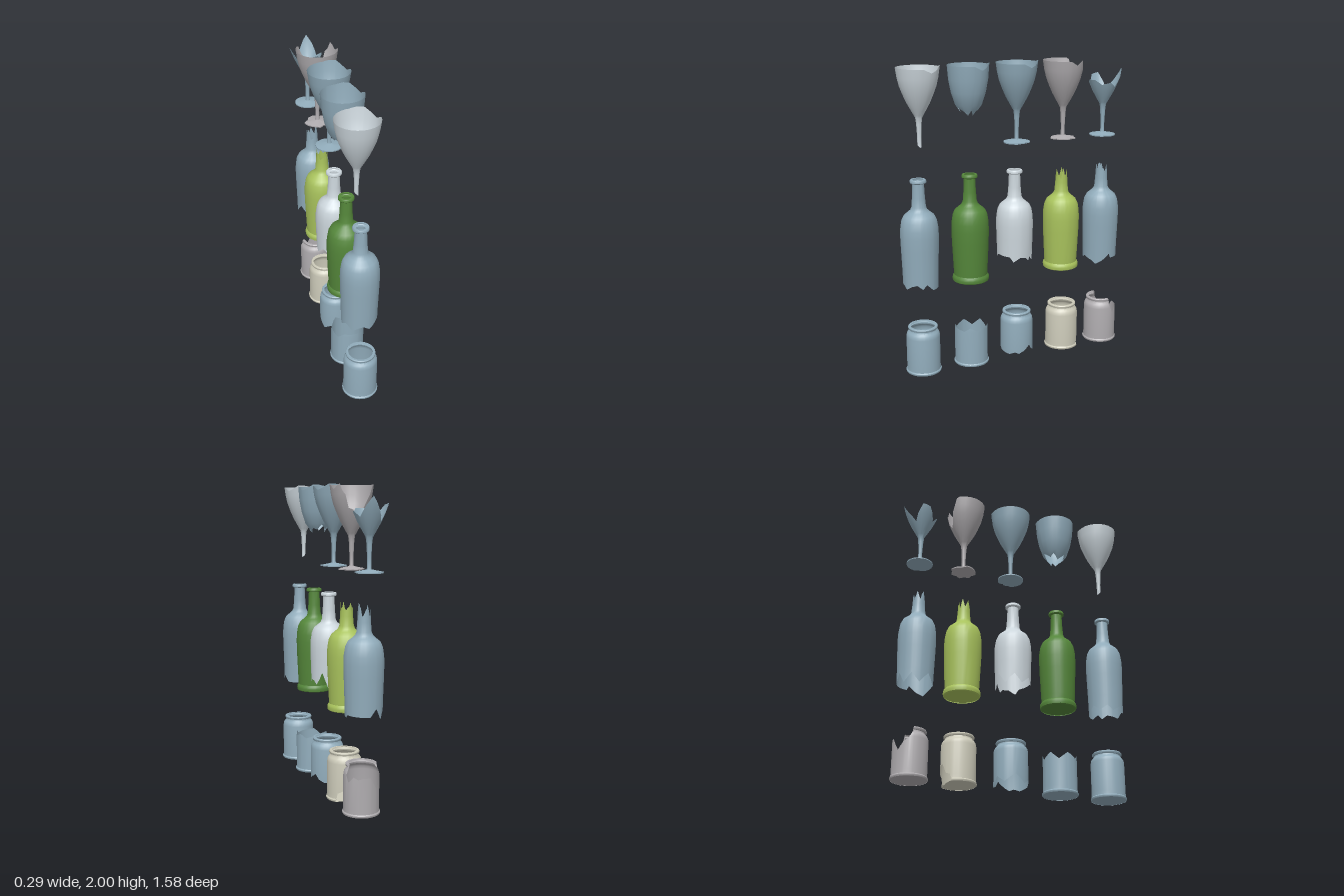
import * as THREE from 'three';
import { toCreasedNormals } from 'three/addons/utils/BufferGeometryUtils.js';

const glass = (name, color) => {
  const m = new THREE.MeshStandardMaterial({ color, side: THREE.DoubleSide });
  m.name = name;
  return m;
};

// Piecewise-linear lookup around the circle of [degrees, value] points
function around(points, deg) {
  const n = points.length;
  for (let i = 0; i < n; i++) {
    const [a0, v0] = points[i];
    const [a1, v1] = points[(i + 1) % n];
    const span = ((a1 - a0 + 360) % 360) || 360;
    const d = (deg - a0 + 360) % 360;
    if (d <= span) return v0 + (v1 - v0) * d / span;
  }
  return points[0][1];
}

// Radius of a rising profile at height y
function radiusAt(profile, y) {
  for (let i = 1; i < profile.length; i++) {
    const [r0, y0] = profile[i - 1], [r1, y1] = profile[i];
    if (y <= y1 && y1 > y0) return r0 + (r1 - r0) * Math.max(0, y - y0) / (y1 - y0);
  }
  return profile[profile.length - 1][0];
}

// Turned shell, cut off below "lo" and above "hi", with edge chips from "rad"
function shell(name, material, profile, { lo = [[0, -9]], hi = [[0, 9]], rad = [[0, 1]] } = {}) {
  const angles = new Set();
  for (let i = 0; i < 24; i++) angles.add(i * 15);
  [lo, hi, rad].forEach(list => list.forEach(p => angles.add(p[0])));
  const sorted = [...angles].sort((a, b) => a - b);
  const columns = sorted.map(deg => {
    const l = around(lo, deg), h = around(hi, deg), k = around(rad, deg);
    const t = deg * Math.PI / 180;
    return profile.map(([r0, y0]) => {
      const y = Math.min(h, Math.max(l, y0));
      const r = (y === y0 ? r0 : radiusAt(profile, y)) * k;
      return new THREE.Vector3(r * Math.sin(t), y, r * Math.cos(t));
    });
  });
  const pos = [];
  const tri = (a, b, c) => {
    const area = b.clone().sub(a).cross(c.clone().sub(a)).length();
    if (area > 1e-9) [a, b, c].forEach(p => pos.push(p.x, p.y, p.z));
  };
  columns.forEach((a, i) => {
    const b = columns[(i + 1) % columns.length];
    for (let j = 0; j + 1 < profile.length; j++) {
      tri(a[j], b[j], b[j + 1]);
      tri(a[j], b[j + 1], a[j + 1]);
    }
  });
  const geo = new THREE.BufferGeometry();
  geo.setAttribute('position', new THREE.Float32BufferAttribute(pos, 3));
  const mesh = new THREE.Mesh(toCreasedNormals(geo, 0.65), material);
  mesh.name = name;
  return mesh;
}

// Flat round floor facing down
const floor = (name, material, r, y, rad) =>
  shell(name, material, [[0, y], [r, y]], { rad });

// Profiles as [radius, height]
const STEM = [[.02, 1.475], [.013, 1.5], [.013, 1.56], [.017, 1.64], [.022, 1.68]];
const BOWL = [[.03, 1.695], [.047, 1.725], [.072, 1.77], [.094, 1.82], [.115, 1.875], [.128, 1.93], [.138, 2.0]];
const DEEP_BOWL = [[.035, 1.66], [.056, 1.7], [.085, 1.74], [.111, 1.82], [.126, 1.9], [.134, 2.0]];
const FOOT = [[0, 1.47], [.087, 1.47], [.087, 1.477], [.05, 1.484], [.015, 1.492]];
const BOTTLE_BASE = [[.112, .58], [.119, .585], [.121, .6], [.119, .614], [.11, .625]];
const BOTTLE_BODY = [[.112, .66], [.121, .85], [.123, .93], [.121, .98], [.113, 1.03], [.098, 1.062],
  [.07, 1.085], [.054, 1.1], [.046, 1.12], [.041, 1.18], [.037, 1.27]];
const BOTTLE_LIP = [[.048, 1.272], [.052, 1.277], [.052, 1.289], [.048, 1.295], [.035, 1.295]];
const JAR_BASE = [[.114, .005], [.117, .01], [.117, .017], [.111, .024]];
const JAR_BODY = [[.11, .05], [.11, .25], [.107, .268], [.1, .28], [.088, .291]];
const JAR_LIP = [[.086, .301], [.094, .302], [.097, .307], [.097, .315], [.093, .32], [.08, .32]];

const CHIPPED_RIM = [[0, 1.99], [88, 1.988], [111, 1.962], [128, 1.975], [148, 2], [165, 2], [185, 1.99]];

export function createModel() {
  const root = new THREE.Group();
  root.name = 'brokenGlassware';
  const blue = glass('blueGlass', 0x90abba);
  const green = glass('greenGlass', 0x54863a);
  const lime = glass('limeGlass', 0xa8c25c);
  const pale = glass('paleGlass', 0xccd6dc);
  const cream = glass('creamGlass', 0xcccab9);
  const gray = glass('grayGlass', 0xaeabae);

  const place = (name, x, z, ...parts) => {
    const g = new THREE.Group();
    g.name = name;
    g.add(...parts);
    g.position.set(x, 0, z);
    root.add(g);
  };

  // Goblets
  const goblet = (name, z, mat, { bowl = [...STEM, ...BOWL], lo, hi = CHIPPED_RIM, foot, solid = true }) => {
    const parts = [shell('bowl', mat, bowl, { lo, hi })];
    if (solid) parts.push(floor('bowlFloor', mat, .05, 1.732));
    if (foot) parts.push(shell('foot', mat, FOOT, { rad: foot }));
    place(name, -.01, z, ...parts);
  };
  goblet('gobletWithoutFoot', .64, pale, { lo: [[0, 1.51], [90, 1.492], [180, 1.5], [270, 1.53]] });
  goblet('gobletBowl', .308, blue, {
    bowl: DEEP_BOWL, solid: false,
    lo: [[0, 1.73], [40, 1.7], [65, 1.675], [85, 1.71], [105, 1.675], [130, 1.71], [160, 1.7], [180, 1.735],
      [215, 1.7], [240, 1.72], [270, 1.68], [310, 1.72], [335, 1.69]]
  });
  goblet('wholeGoblet', -.027, blue, {
    foot: [[0, 1], [70, 1], [85, .85], [105, .93], [120, .8], [135, 1]]
  });
  goblet('gobletWithBrokenSide', -.365, gray, {
    hi: [[0, 1.99], [85, 1.99], [105, 1.962], [120, 1.985], [128, 1.995], [135, 1.95], [143, 1.93], [150, 1.85],
      [165, 1.84], [180, 1.8], [200, 1.83], [212, 1.9], [220, 1.93], [228, 1.98], [235, 1.99]],
    foot: [[0, 1], [25, .8], [45, .95], [70, .75], [90, .98], [115, .8], [140, 1], [165, .85], [185, 1], [220, .9],
      [245, .75], [270, 1], [330, .9]]
  });
  goblet('gobletWithJaggedBowl', -.668, blue, {
    hi: [[0, 1.85], [30, 1.85], [55, 1.82], [90, 1.835], [120, 1.8], [140, 1.84], [170, 1.92], [195, 1.84],
      [225, 1.77], [260, 1.88], [285, 1.87], [320, 1.79], [340, 1.83]],
    foot: [[0, 1], [60, 1], [80, .9], [100, 1]]
  });

  // Bottles
  const WHOLE = [...BOTTLE_BASE, ...BOTTLE_BODY, ...BOTTLE_LIP];
  const BASELESS = [[.113, .57], [.116, .7], ...BOTTLE_BODY.slice(1)];
  const BROKEN_NECK = [[.036, 1.3]];
  const bottle = (name, z, mat, profile, cuts, base) => {
    const parts = [shell('bottleBody', mat, profile, cuts)];
    if (base) parts.push(floor('bottleFloor', mat, .114, .585));
    place(name, .015, z, ...parts);
  };
  bottle('bottleWithoutBase', .665, blue, [...BASELESS, ...BOTTLE_LIP], {
    lo: [[0, .618], [20, .59], [40, .615], [60, .628], [78, .6], [92, .628], [115, .585], [155, .583], [180, .6],
      [200, .63], [225, .59], [250, .62], [270, .585], [300, .625], [325, .585], [345, .61]]
  });
  bottle('wholeBottle', .318, green, WHOLE, {}, true);
  bottle('bottleTop', 0, pale, [...BASELESS, ...BOTTLE_LIP], {
    lo: [[0, .73], [50, .725], [62, .69], [85, .72], [105, .715], [117, .69], [130, .73], [140, .775], [160, .67],
      [180, .67], [200, .76], [225, .69], [255, .75], [280, .69], [310, .74], [335, .7]]
  });
  bottle('bottleWithBrokenNeck', -.347, lime, [...BOTTLE_BASE, ...BOTTLE_BODY, ...BROKEN_NECK], {
    hi: [[0, 1.22], [35, 1.23], [60, 1.205], [85, 1.28], [105, 1.21], [130, 1.275], [150, 1.215], [180, 1.24],
      [215, 1.2], [240, 1.27], [265, 1.21], [300, 1.26], [330, 1.205]]
  }, true);
  bottle('bottleBrokenAtBothEnds', -.655, blue, [...BASELESS, ...BROKEN_NECK], {
    lo: [[0, .63], [30, .61], [48, .585], [70, .61], [95, .655], [102, .625], [150, .622], [180, .62], [200, .67],
      [220, .6], [245, .66], [270, .6], [300, .67], [335, .6]],
    hi: [[0, 1.21], [25, 1.28], [45, 1.29], [65, 1.24], [85, 1.25], [100, 1.21], [125, 1.275], [145, 1.21],
      [180, 1.26], [210, 1.2], [240, 1.27], [275, 1.2], [305, 1.28], [335, 1.2]]
  });

  // Jars
  const JAR = [...JAR_BASE, ...JAR_BODY, ...JAR_LIP];
  const jar = (name, z, mat, cuts, base = [[0, 1]], profile = JAR) => {
    const parts = [shell('jarBody', mat, profile, cuts)];
    if (base) parts.push(floor('jarFloor', mat, .114, .006, base));
    place(name, .03, z, ...parts);
  };
  jar('wholeJar', .665, blue, {});
  jar('jarWithoutRim', .326, blue, {
    hi: [[0, .265], [25, .26], [45, .255], [65, .28], [90, .255], [115, .275], [140, .25], [165, .265], [185, .23],
      [215, .27], [245, .22], [275, .265], [310, .235], [335, .27]]
  }, undefined, [...JAR_BASE, [.11, .05], [.11, .25], [.107, .29]]);
  jar('jarWithoutBase', -.008, blue, {
    lo: [[0, .04], [40, .03], [60, .045], [75, .035], [90, .05], [117, .085], [130, .05], [150, .03], [180, .03],
      [200, .08], [230, .04], [265, .09], [300, .035], [330, .07]]
  }, null, [[.11, .02], ...JAR_BODY, ...JAR_LIP]);
  jar('jarWithBrokenFoot', -.353, cream, {
    lo: [[0, 0], [132, 0], [138, .06], [155, .075], [170, .125], [195, .12], [212, .06], [228, .05], [235, 0]]
  }, [[0, 1], [132, 1], [155, .78], [180, .7], [210, .8], [235, 1]]);
  jar('jarWithBrokenRim', -.66, gray, {
    hi: [[0, .33], [100, .33], [104, .26], [115, .215], [135, .255], [150, .24], [165, .25], [190, .25], [215, .17],
      [235, .22], [250, .24], [262, .28], [268, .33]]
  });

  return root;
}
